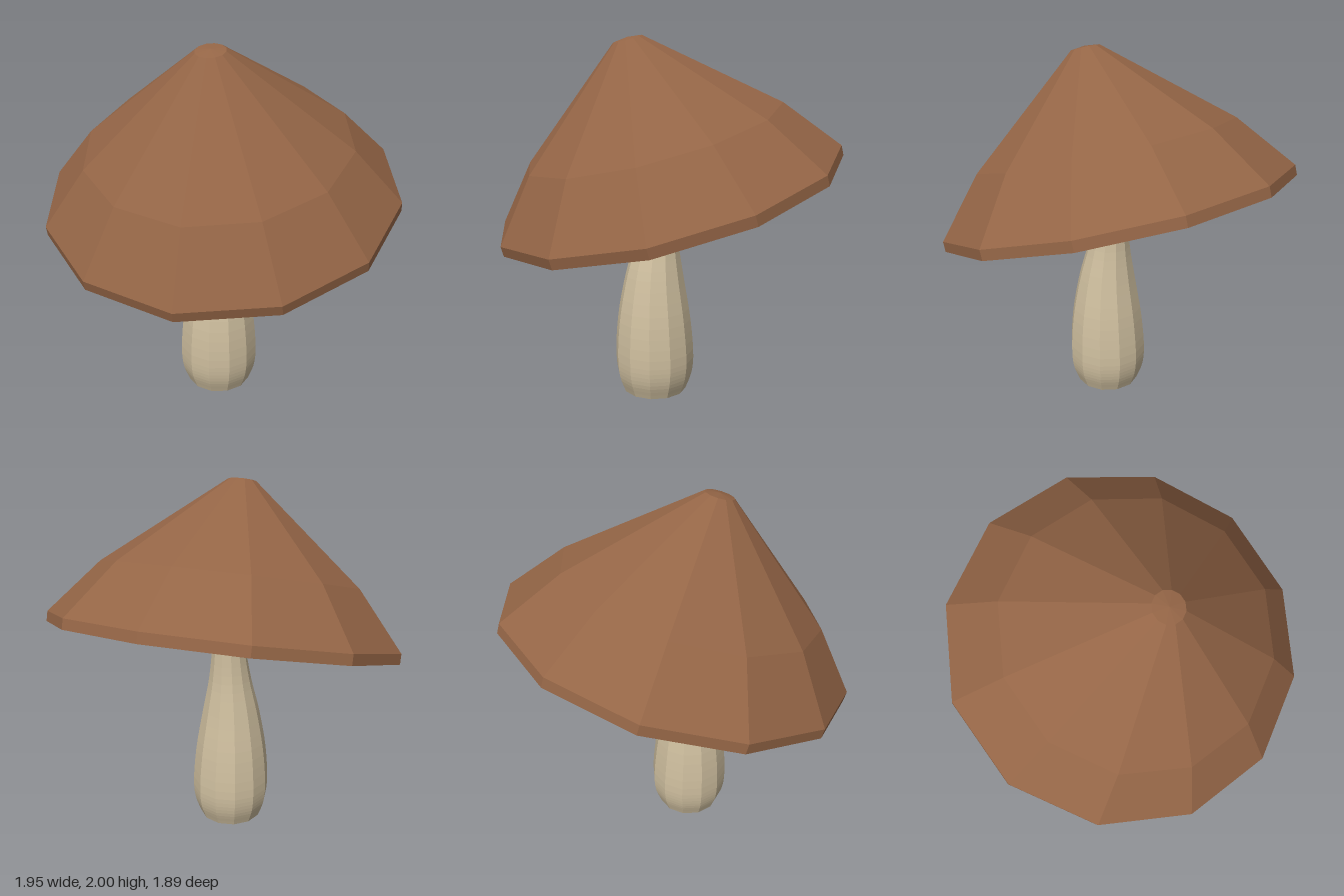
import * as THREE from 'three';

const SIDES = 12;

// Split the faces so each one gets its own flat normal
function faceted(geometry) {
  const flat = geometry.toNonIndexed();
  flat.computeVertexNormals();
  return flat;
}

// Hollow conical cap: profile runs from the inner ceiling, over the rim, to the tip
function makeCap(material) {
  const profile = [
    [0, 0.49], [0.35, 0.42], [0.62, 0.27], [0.975, 0],
    [0.975, 0.055], [0.72, 0.357], [0.08, 0.876], [0, 0.886],
  ].map(([r, y]) => new THREE.Vector2(r, y));
  const cap = new THREE.Mesh(faceted(new THREE.LatheGeometry(profile, SIDES)), material);
  cap.name = 'cap';
  cap.position.set(0, 1.1375, -0.0075);
  cap.rotation.x = 0.278; // tipped down towards the front
  return cap;
}

// Leaning stem: bulbous foot, slim neck, flared where it meets the cap
function makeStem(material) {
  // radius, height, z of the centre
  const sections = [
    [0.18, 0, 0.085], [0.213, 0.09, 0.085], [0.225, 0.19, 0.085], [0.21, 0.42, 0.088],
    [0.165, 0.68, 0.085], [0.122, 0.88, 0.07], [0.096, 1.08, 0.055], [0.092, 1.23, 0.055],
    [0.12, 1.4, 0.062], [0.19, 1.6, 0.07], [0.2, 1.65, 0.075],
  ].map((s) => new THREE.Vector3(...s));
  const rings = new THREE.CatmullRomCurve3(sections).getPoints(40);
  rings.unshift(new THREE.Vector3(0, 0, 0.085));
  rings.push(new THREE.Vector3(0, 1.65, 0.075));

  const geometry = new THREE.LatheGeometry(rings.map((p) => new THREE.Vector2(p.x, p.y)), SIDES);
  const position = geometry.attributes.position;
  for (let i = 0; i < position.count; i++) {
    position.setZ(i, position.getZ(i) + rings[i % rings.length].z);
  }
  const stem = new THREE.Mesh(faceted(geometry), material);
  stem.name = 'stem';
  return stem;
}

export function createModel() {
  const capBrown = new THREE.MeshStandardMaterial({ color: 0x946546 });
  capBrown.name = 'cap brown';
  const stemCream = new THREE.MeshStandardMaterial({ color: 0xcfbf9f });
  stemCream.name = 'stem cream';

  const group = new THREE.Group();
  group.name = 'mushroom';
  group.add(makeCap(capBrown), makeStem(stemCream));
  return group;
}
